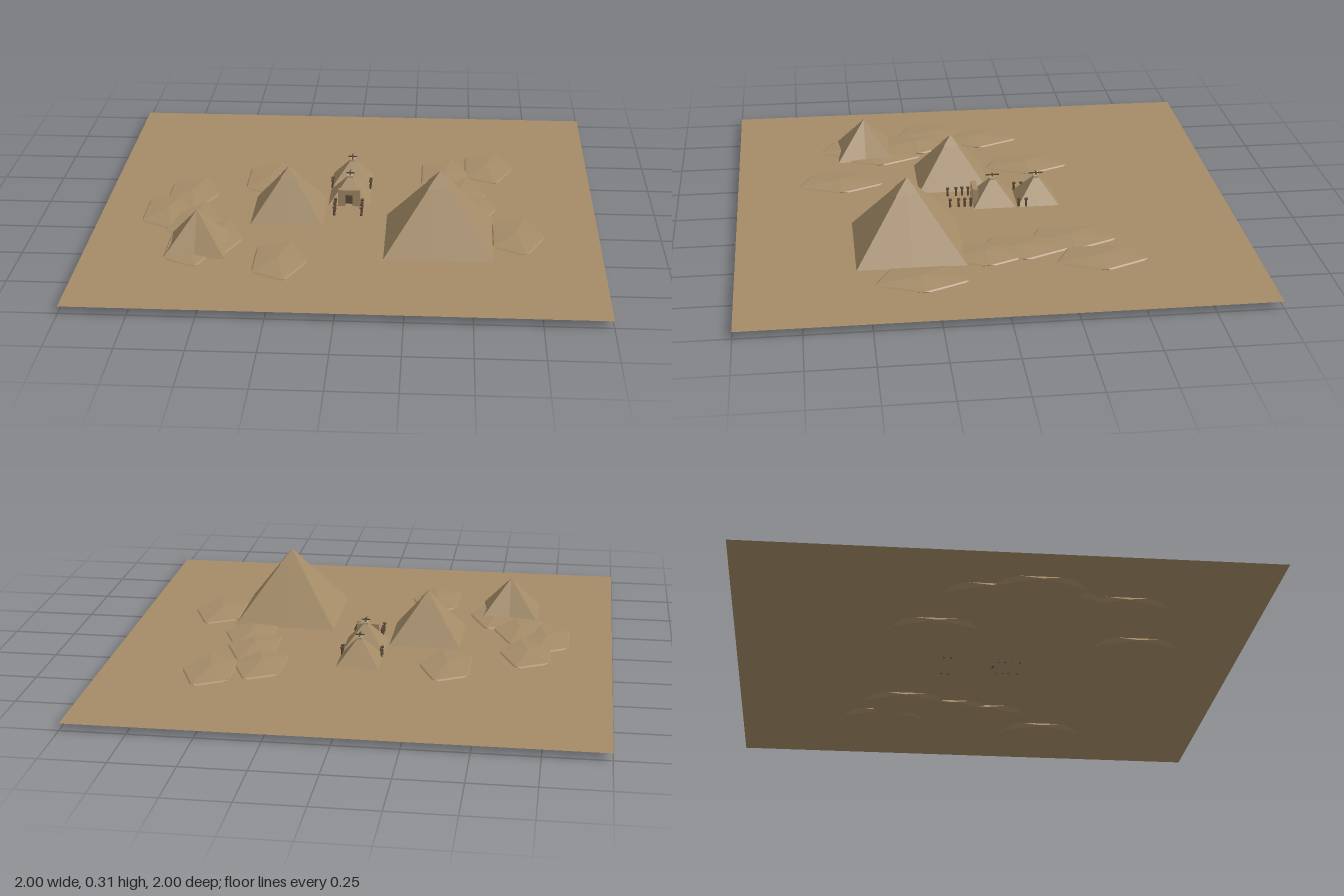
import * as THREE from 'three';
import { ConvexGeometry } from 'three/addons/geometries/ConvexGeometry.js';

const GROUND = 0.028;
const sand = new THREE.MeshStandardMaterial({ color: 0xa58c68, flatShading: true, side: THREE.DoubleSide });
const dark = new THREE.MeshStandardMaterial({ color: 0x5c4c38, flatShading: true });
const pale = new THREE.MeshStandardMaterial({ color: 0xb5a384, flatShading: true });

function add(parent, name, geometry, material, x = 0, y = 0, z = 0) {
  const mesh = new THREE.Mesh(geometry, material);
  mesh.name = name;
  mesh.position.set(x, y, z);
  parent.add(mesh);
  return mesh;
}

// Square pyramid standing on y = 0; inset pulls the middle of each base side inwards
function pyramidGeometry(half, height, inset = 0) {
  const base = [];
  for (let i = 0; i < 4; i++) {
    const a = Math.PI / 4 + i * Math.PI / 2, m = a + Math.PI / 4;
    base.push([Math.cos(a) * half * Math.SQRT2, Math.sin(a) * half * Math.SQRT2]);
    base.push([Math.cos(m) * (half - inset), Math.sin(m) * (half - inset)]);
  }
  const pos = [];
  base.forEach(([x, z], i) => {
    const [nx, nz] = base[(i + 1) % base.length];
    pos.push(x, 0, z, 0, height, 0, nx, 0, nz);
  });
  const geo = new THREE.BufferGeometry();
  geo.setAttribute('position', new THREE.Float32BufferAttribute(pos, 3));
  geo.computeVertexNormals();
  return geo;
}

// Squashed icosahedron with a vertex up and its upper ring pointing to +x
function duneGeometry(rx, ry, rz) {
  const pts = [new THREE.Vector3(0, ry, 0), new THREE.Vector3(0, -ry, 0)];
  for (let i = 0; i < 10; i++) {
    const a = i * Math.PI / 5, s = i % 2 ? -1 : 1;
    pts.push(new THREE.Vector3(0.894 * rx * Math.cos(a), 0.447 * ry * s, 0.894 * rz * Math.sin(a)));
  }
  return new ConvexGeometry(pts);
}

export function createModel() {
  const model = new THREE.Group();
  model.name = 'desertPyramids';

  // Flat desert floor
  const floor = add(model, 'ground', new THREE.PlaneGeometry(2, 2), sand, 0, GROUND, 0);
  floor.rotation.x = -Math.PI / 2;

  // Dunes, half sunk in the floor
  const dune = duneGeometry(0.124, 0.0225, 0.206);
  [[-0.35, -0.23], [0.57, -0.40], [0.385, -0.31], [0.45, -0.11], [0.49, 0.04], [0.675, 0.30],
    [-0.66, -0.05], [-0.73, 0.13], [-0.62, 0.22], [-0.51, 0.39], [-0.59, 0.47], [-0.24, 0.57]]
    .forEach(([x, z]) => add(model, 'dune', dune, sand, x, 0.0225, z));

  // Three great pyramids: x, z, half width, height, side inset, cap height
  [[0.37, 0.33, 0.211, 0.284, 0, 0.058], [-0.24, 0.105, 0.145, 0.196, 0, 0.038],
    [-0.565, 0.455, 0.118, 0.152, 0.008, 0]].forEach(([x, z, half, h, inset, cap]) => {
    const g = new THREE.Group();
    g.name = 'greatPyramid';
    g.position.set(x, GROUND, z);
    add(g, 'pyramidBody', pyramidGeometry(half, h, inset), sand);
    if (cap) add(g, 'pyramidCap', pyramidGeometry(half * cap / h + 0.003, cap + 0.001), sand, 0, h - cap, 0);
    model.add(g);
  });

  // Two small pyramids with finials
  for (const z of [-0.225, -0.045]) {
    const g = new THREE.Group();
    g.name = 'smallPyramid';
    g.position.set(0, GROUND, z);
    add(g, 'pyramidBody', pyramidGeometry(0.085, 0.108), sand);
    add(g, 'capstone', new THREE.BoxGeometry(0.022, 0.012, 0.022), pale, 0, 0.097, 0);
    add(g, 'finialPost', new THREE.CylinderGeometry(0.003, 0.003, 0.024, 6), dark, 0, 0.108, 0);
    add(g, 'finialBarAcross', new THREE.BoxGeometry(0.036, 0.004, 0.004), dark, 0, 0.113, 0);
    add(g, 'finialBarAlong', new THREE.BoxGeometry(0.004, 0.004, 0.056), dark, 0, 0.113, 0);
    model.add(g);
  }

  // Temple gate in front of the nearer small pyramid
  const gate = new THREE.Group();
  gate.name = 'templeGate';
  gate.position.set(0, GROUND, 0.03);
  for (const s of [-1, 1]) {
    add(gate, 'gateTower', new THREE.BoxGeometry(0.03, 0.07, 0.022), sand, s * 0.03, 0.035, 0);
  }
  add(gate, 'gateLintel', new THREE.BoxGeometry(0.04, 0.022, 0.02), sand, 0, 0.059, 0);
  add(gate, 'gateDoor', new THREE.BoxGeometry(0.03, 0.048, 0.008), dark, 0, 0.024, 0);
  model.add(gate);

  // Rows of little columns along the approach and beside the small pyramids
  const shaft = new THREE.CylinderGeometry(0.004, 0.005, 0.034, 6);
  const head = new THREE.BoxGeometry(0.013, 0.005, 0.013);
  for (const s of [-1, 1]) {
    for (const [x, z] of [[0.055, 0.05], [0.055, 0.075], [0.055, 0.1], [0.055, 0.135], [0.08, -0.145], [0.08, -0.175]]) {
      const g = new THREE.Group();
      g.name = 'column';
      g.position.set(s * x, GROUND, z);
      add(g, 'columnShaft', shaft, dark, 0, 0.017, 0);
      add(g, 'columnHead', head, dark, 0, 0.034, 0);
      model.add(g);
    }
  }
  return model;
}
